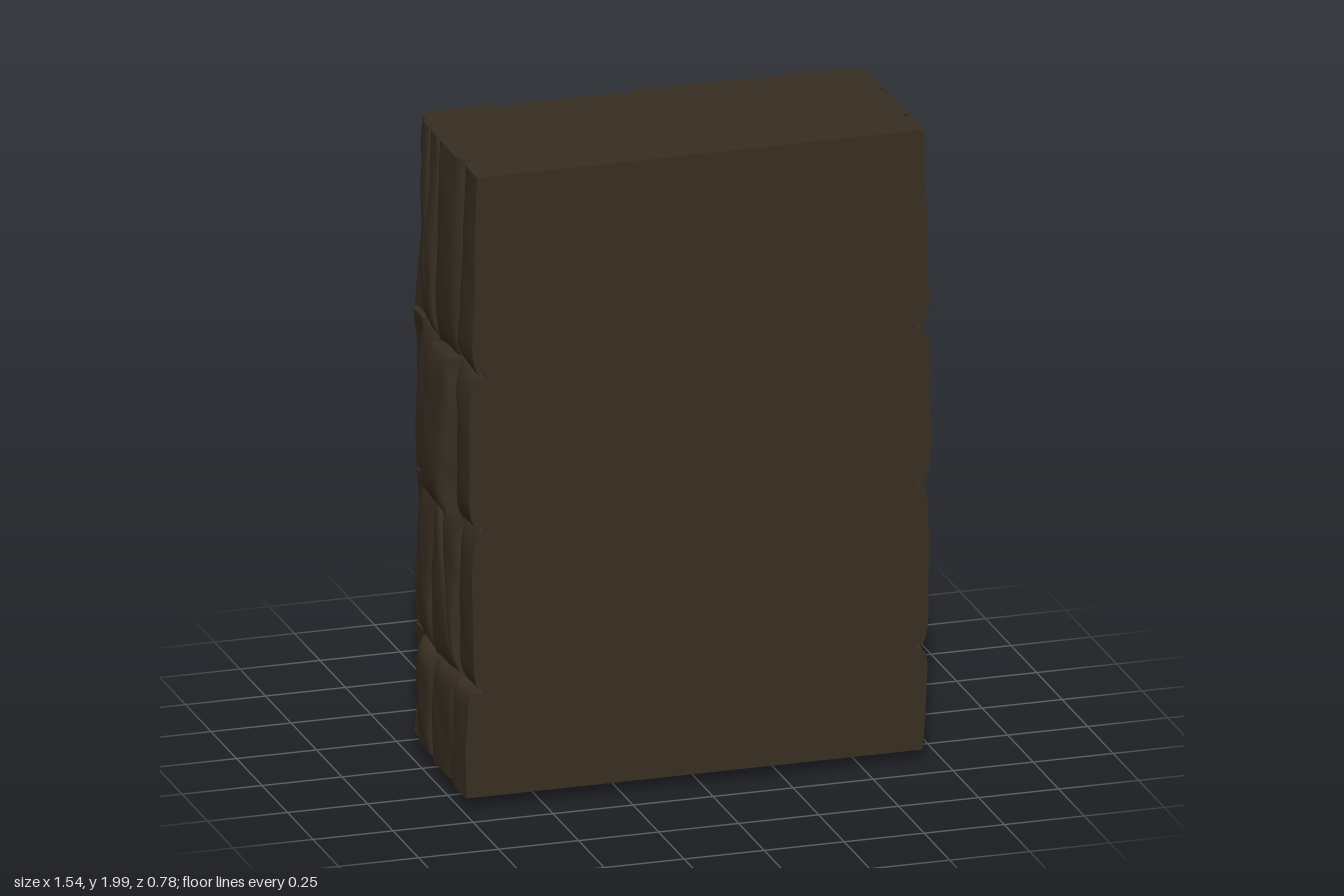
import * as THREE from 'three';

const { lerp, smoothstep } = THREE.MathUtils;
const stoneMat = new THREE.MeshStandardMaterial({ color: 0x382e22 });
stoneMat.name = 'dark brown stone';

const TOP = 1.996, BOTTOM = 0.037, FRONT = 0.385;

// Height of a course seam: four heights spaced along the face
const STOPS = [-0.7, -0.2, 0.3, 0.7];
function seamY(seam, u) {
  if (u <= STOPS[0]) return seam[0];
  for (let i = 0; i < 3; i++) {
    if (u <= STOPS[i + 1]) return lerp(seam[i], seam[i + 1], smoothstep(u, STOPS[i], STOPS[i + 1]));
  }
  return seam[3];
}

// Soft, repeatable unevenness
const rough = (u, v, k) =>
  0.5 * Math.sin(u * 13 + v * 7 + k) + 0.3 * Math.sin(v * 19 - u * 9 + k * 2.3) + 0.2 * Math.sin(u * 37 + v * 29 + k * 4.1);

// One pillowed stone between two course seams.
// spec: [bottom left, bottom right, top left, top right, bottom depth, top depth, bulge, options]
// options: cut = share of the course height at [low left, low right, high left, high right],
// slant = depth added at [left, right], swell = outward bow of the left end, roll = rounding of the rim
function makeStone(spec, low, high, face, seed) {
  const [bl, br, tl, tr, dBottom, dTop, bulge = 0.008, options = {}] = spec;
  const { cut = [0, 0, 1, 1], slant = [0, 0], swell = 0, roll = face.roll } = options;
  const gap = 0.005;
  // The rim stays square where the block is cut flat
  const flat = (edge) => face.squareEnds && Math.abs(edge) > 0.38;
  const flatLow = face.squareEnds && low[0] < 0.1;
  const flatHigh = high[0] >= TOP;
  const geo = new THREE.BoxGeometry(1, 1, 1, 16, 16, 1);
  const p = geo.attributes.position;
  for (let i = 0; i < p.count; i++) {
    // Grid lines crowd toward the edges so the rims stay crisp
    const a = Math.sin(Math.PI * p.getX(i));
    const b = Math.sin(Math.PI * p.getY(i));
    const s = (a + 1) / 2;
    const t = lerp(lerp(cut[0], cut[1], s), lerp(cut[2], cut[3], s), (b + 1) / 2);
    const u = lerp(lerp(bl, tl, t) + (flat(bl) ? 0 : gap), lerp(br, tr, t) - (flat(br) ? 0 : gap), s);
    const y0 = seamY(low, u), y1 = seamY(high, u);
    let v = lerp(y0 + (y0 > 0.1 ? gap : 0), y1 - (flatHigh ? 0 : gap), t);
    const rimA = (a < 0 && flat(bl)) || (a > 0 && flat(br)) ? 1 : 1 - Math.abs(a) ** 9;
    const rimB = (b < 0 && flatLow) || (b > 0 && flatHigh) ? 1 : 1 - Math.abs(b) ** 9;
    const rim = rimA * rimB;
    const depth = lerp(dBottom, dTop, t) + lerp(slant[0], slant[1], s) - roll * (1 - rim)
      + bulge * (1 - a * a) * (1 - b * b) + 0.006 * rim * rough(u, v, seed);
    // Seams wander, while the flat faces of the block stay straight
    const innerU = face.squareEnds ? Math.min(1, (FRONT - Math.abs(u)) * 8) : 1;
    const innerV = Math.min(1, (TOP - v) * 5) * Math.min(1, Math.max(0, v - BOTTOM) * 5);
    const du = 0.011 * innerU * rough(v, u, 3) - swell * (1 - s) * (1 - b * b);
    v += 0.012 * innerV * rough(u, v, 2);
    const outer = p.getZ(i) > 0;
    p.setXYZ(i, u + du, outer ? v : Math.max(v, BOTTOM), outer ? depth : face.base);
  }
  geo.computeVertexNormals();
  return new THREE.Mesh(geo, stoneMat);
}

// A whole stone face: courses of stones between successive seams
function makeFace(name, seams, courses, face, turn) {
  const group = new THREE.Group();
  group.name = name;
  courses.forEach((course, r) => course.forEach((spec, c) => {
    const stone = makeStone(spec, seams[r], seams[r + 1], face, r * 5 + c * 1.7);
    stone.name = `${name}Course${r + 1}Stone${c + 1}`;
    group.add(stone);
  }));
  group.rotation.y = turn;
  return group;
}

const level = (y) => [y, y, y, y];

export function createModel() {
  const model = new THREE.Group();
  model.name = 'stoneWallBlock';

  // Flat-faced core slab
  const coreBack = -0.175;
  const core = new THREE.Mesh(new THREE.BoxGeometry(1.35, TOP - BOTTOM, FRONT - coreBack), stoneMat);
  core.name = 'coreSlab';
  core.position.set(0, (TOP + BOTTOM) / 2, (FRONT + coreBack) / 2);
  model.add(core);

  // Back face, listed from the model's left to its right, bottom course first
  const backSeams = [
    [BOTTOM, 0.003, 0.03, BOTTOM], [0.36, 0.42, 0.42, 0.38],
    [0.83, 0.80, 0.89, 0.88], [1.35, 1.30, 1.36, 1.38], level(TOP),
  ];
  const leftSlant = [-0.035, 0.01];
  const rightSlant = [0.015, -0.005];
  const back = [
    [
      [-0.69, -0.48, -0.70, -0.44, 0.235, 0.25, 0.015, { slant: leftSlant }],
      [-0.48, -0.34, -0.44, -0.15, 0.245, 0.265, 0.01],
      [-0.34, 0.13, -0.15, 0.13, 0.245, 0.27, 0.01],
      [0.13, 0.44, 0.13, 0.44, 0.265, 0.295, 0.01],
      [0.44, 0.70, 0.44, 0.70, 0.255, 0.265, 0.008, { slant: rightSlant }],
    ],
    [
      [-0.70, -0.42, -0.71, -0.43, 0.25, 0.23, 0.02, { slant: leftSlant, swell: 0.04 }],
      [-0.42, 0.13, -0.43, 0.12, 0.275, 0.25, 0.01],
      [0.13, 0.42, 0.12, 0.20, 0.28, 0.25, 0.01],
      [0.42, 0.48, 0.20, 0.48, 0.27, 0.25],
      [0.48, 0.70, 0.48, 0.70, 0.255, 0.245, 0.008, { slant: rightSlant }],
    ],
    [
      [-0.71, -0.42, -0.71, -0.42, 0.23, 0.25, 0.02, { slant: leftSlant, swell: 0.03 }],
      [-0.42, 0.06, -0.42, -0.32, 0.25, 0.27, 0.01],
      [0.06, 0.10, -0.32, 0.09, 0.265, 0.28, 0.01],
      [0.10, 0.49, 0.10, 0.48, 0.37, 0.35, 0.028, { roll: 0.055 }],
      [0.49, 0.70, 0.48, 0.70, 0.26, 0.265, 0.008, { slant: rightSlant }],
    ],
    [
      [-0.70, -0.42, -0.69, -0.42, 0.255, 0.21, 0.02, { slant: [-0.03, 0.01] }],
      [-0.42, -0.06, -0.42, -0.36, 0.275, 0.21, 0.02],
      [-0.06, 0.05, -0.36, 0.06, 0.285, 0.215, 0.02],
      [0.05, 0.45, 0.06, 0.45, 0.32, 0.205, 0.03],
      [0.45, 0.69, 0.45, 0.69, 0.275, 0.215, 0.015, { slant: rightSlant }],
    ],
  ];
  model.add(makeFace('backFace', backSeams, back, { base: 0.14, roll: 0.025, squareEnds: false }, Math.PI));

  const sideSeams = [level(BOTTOM), level(0.365), level(0.88), level(1.37), level(TOP)];
  const side = { base: 0.64, roll: 0.022, squareEnds: true };

  // Left side, listed from front to back
  const left = [
    [
      [-0.385, -0.24, -0.385, -0.24, 0.69, 0.71],
      [-0.24, -0.02, -0.24, -0.03, 0.695, 0.71],
      [-0.02, 0.16, -0.03, 0.16, 0.695, 0.705, 0.01, { cut: [0, 0, 0.25, 0.62] }],
      [-0.02, 0.16, -0.03, 0.16, 0.695, 0.71, 0.008, { cut: [0.25, 0.62, 1, 1] }],
    ],
    [
      [-0.385, -0.26, -0.385, -0.26, 0.71, 0.715],
      [-0.26, -0.03, -0.26, -0.02, 0.715, 0.715, 0.02],
      [-0.03, 0.15, -0.02, 0.16, 0.71, 0.71, 0.015],
    ],
    [
      [-0.385, -0.22, -0.385, -0.24, 0.72, 0.71],
      [-0.22, 0.00, -0.24, 0.00, 0.725, 0.75, 0.015, { cut: [0, 0, 0.6, 0.37] }],
      [-0.22, 0.00, -0.24, 0.00, 0.765, 0.725, 0.03, { cut: [0.6, 0.37, 1, 1] }],
      [0.00, 0.16, 0.00, 0.17, 0.71, 0.71],
    ],
    [
      [-0.385, -0.25, -0.385, -0.25, 0.71, 0.70],
      [-0.25, -0.02, -0.25, -0.01, 0.715, 0.70, 0.01, { cut: [0, 0, 0.42, 0.04] }],
      [-0.25, -0.12, -0.25, -0.01, 0.705, 0.70, 0.008, { cut: [0.42, 0.22, 1, 1] }],
      [-0.12, -0.02, -0.01, 0.00, 0.71, 0.70, 0.005, { cut: [0.22, 0.04, 1, 1] }],
      [-0.02, 0.16, 0.00, 0.16, 0.71, 0.70],
    ],
  ];
  model.add(makeFace('leftSide', sideSeams, left, side, Math.PI / 2));

  // Right side, listed from back to front
  const right = [
    [
      [-0.16, 0.01, -0.16, 0.01, 0.72, 0.725],
      [0.01, 0.23, 0.01, 0.23, 0.73, 0.73, 0.004],
      [0.23, 0.385, 0.23, 0.385, 0.735, 0.735, 0],
    ],
    [
      [-0.16, -0.04, -0.16, 0.00, 0.715, 0.71],
      [-0.04, 0.22, 0.00, 0.04, 0.72, 0.715, 0.01],
      [0.22, 0.23, 0.04, 0.23, 0.72, 0.715, 0.01],
      [0.23, 0.385, 0.23, 0.385, 0.715, 0.71],
    ],
    [
      [-0.16, 0.01, -0.16, 0.01, 0.725, 0.715, 0.01],
      [0.01, 0.23, 0.01, 0.23, 0.768, 0.752, 0.004],
      [0.23, 0.385, 0.23, 0.385, 0.725, 0.72],
    ],
    [
      [-0.16, -0.08, -0.16, -0.08, 0.71, 0.70],
      [-0.08, 0.01, -0.08, 0.01, 0.72, 0.705],
      [0.01, 0.24, 0.01, 0.24, 0.725, 0.705],
      [0.24, 0.385, 0.24, 0.385, 0.72, 0.70],
    ],
  ];
  model.add(makeFace('rightSide', sideSeams, right, side, -Math.PI / 2));

  return model;
}
